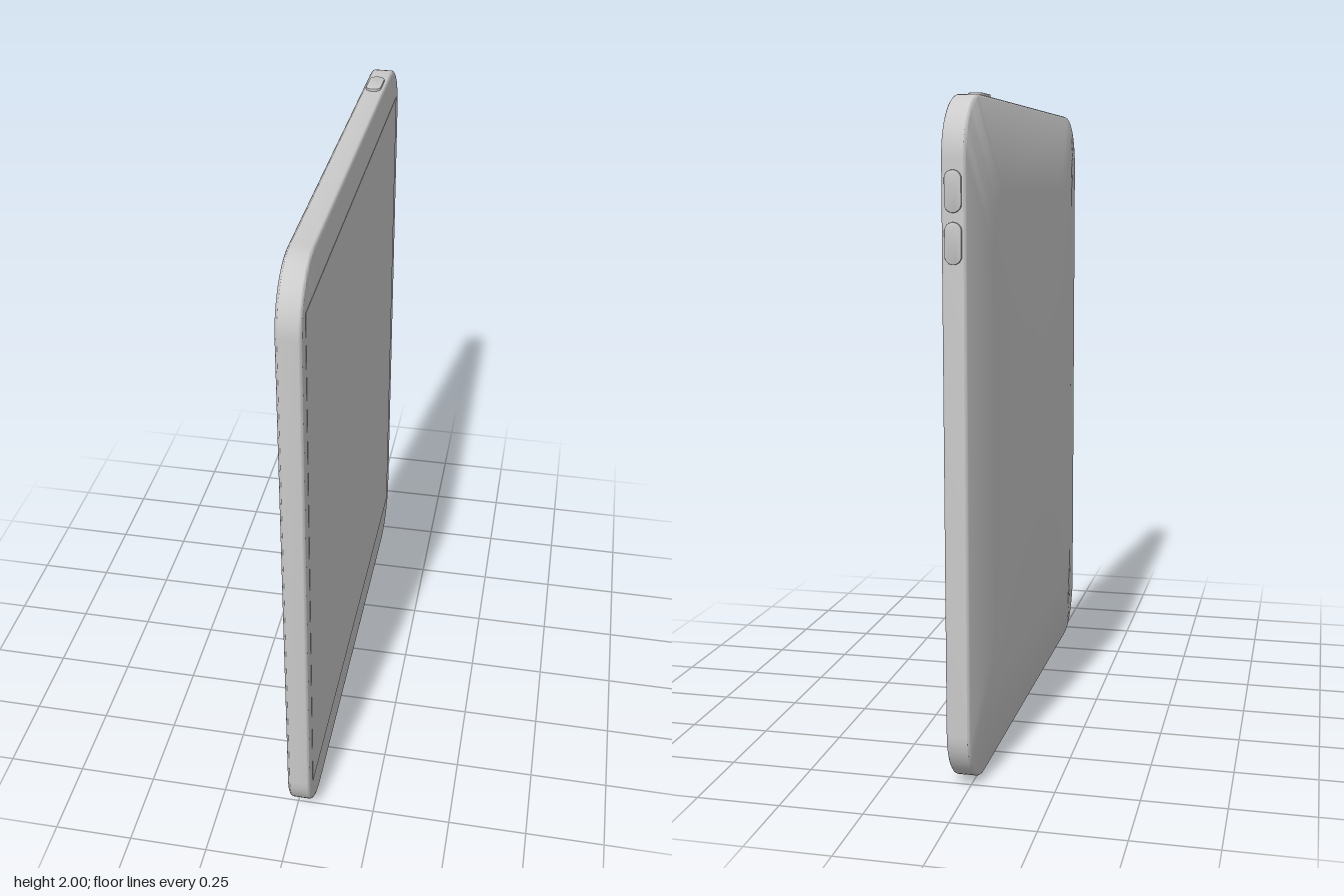
import * as THREE from 'three';
import { toCreasedNormals } from 'three/addons/utils/BufferGeometryUtils.js';

const grey = () => new THREE.MeshStandardMaterial({ color: 0xcccccc });
const CY = 0.996, CZ = 0.003; // centre of the case
const HY = 0.996, HZ = 0.829, R = 0.18; // half height, half width, corner radius
const STEPS = 16;

// Rounded-rectangle cross-section at a given x
function section([x, hy, hz, r]) {
  const points = [];
  for (let q = 0; q < 4; q++) {
    const sz = q === 0 || q === 3 ? 1 : -1;
    const sy = q < 2 ? 1 : -1;
    for (let i = 0; i <= STEPS; i++) {
      const a = (q + i / STEPS) * Math.PI / 2;
      points.push([x, CY + sy * (hy - r) + r * Math.sin(a), CZ + sz * (hz - r) + r * Math.cos(a)]);
    }
  }
  return points;
}

// Skin the cross-sections from -x to +x and close both ends
function loft(sections) {
  const rings = sections.map(section);
  const n = rings[0].length;
  const position = rings.flat(2);
  const index = [];
  for (let k = 0; k < rings.length - 1; k++) {
    for (let j = 0; j < n; j++) {
      const j2 = (j + 1) % n;
      const a = k * n + j, b = k * n + j2;
      index.push(a, a + n, b, b, a + n, b + n);
    }
  }
  const first = rings.length * n, last = first + 1, end = (rings.length - 1) * n;
  position.push(sections[0][0], CY, CZ, sections.at(-1)[0], CY, CZ);
  for (let j = 0; j < n; j++) {
    const j2 = (j + 1) % n;
    index.push(first, j, j2, last, end + j2, end + j);
  }
  const g = new THREE.BufferGeometry();
  g.setAttribute('position', new THREE.Float32BufferAttribute(position, 3));
  g.setIndex(index);
  return toCreasedNormals(g, 0.5);
}

// Pill-shaped key, long along y, thickness along z
function keyGeometry(length, width) {
  const r = width / 2, h = length / 2 - r;
  const s = new THREE.Shape();
  s.absarc(0, h, r, 0, Math.PI);
  s.absarc(0, -h, r, Math.PI, Math.PI * 2);
  s.closePath();
  const g = new THREE.ExtrudeGeometry(s, {
    depth: 0.02, bevelThickness: 0.002, bevelSize: 0.002, bevelOffset: -0.002,
    bevelSegments: 2, curveSegments: 12,
  });
  g.translate(0, 0, -0.01);
  return toCreasedNormals(g, 0.6);
}

export function createModel() {
  const group = new THREE.Group();
  const add = (name, geometry, x = 0, y = 0, z = 0) => {
    const mesh = new THREE.Mesh(geometry, grey());
    mesh.name = name;
    mesh.position.set(x, y, z);
    group.add(mesh);
    return mesh;
  };
  const inset = (x, d) => [x, HY - d, HZ - d, R - d];

  // Case: gently domed back, flat side wall, softened front edge
  add('case', loft([
    [-0.06, 0.3, 0.21, 0.12],
    [-0.056, 0.4, 0.3, 0.14],
    [-0.05, 0.5, 0.4, 0.16],
    [-0.035, 0.73, 0.59, 0.17],
    inset(-0.016, 0.008),
    inset(-0.013, 0.003),
    inset(-0.008, 0),
    inset(0.047, 0),
    inset(0.051, 0.002),
    inset(0.054, 0.006),
    inset(0.055, 0.012),
  ]));

  // Display panel, barely proud of the glass
  add('screen', new THREE.BoxGeometry(0.006, 1.73, 1.55), 0.053, 1.0, CZ);

  // Two volume keys on the side wall and the power key on top
  [1.725, 1.585].forEach((y, i) =>
    add(i ? 'volumeDownKey' : 'volumeUpKey', keyGeometry(0.115, 0.048), 0.02, y, -0.822));
  add('powerKey', keyGeometry(0.12, 0.048), 0.02, 1.988, -0.53).rotation.x = Math.PI / 2;

  return group;
}
